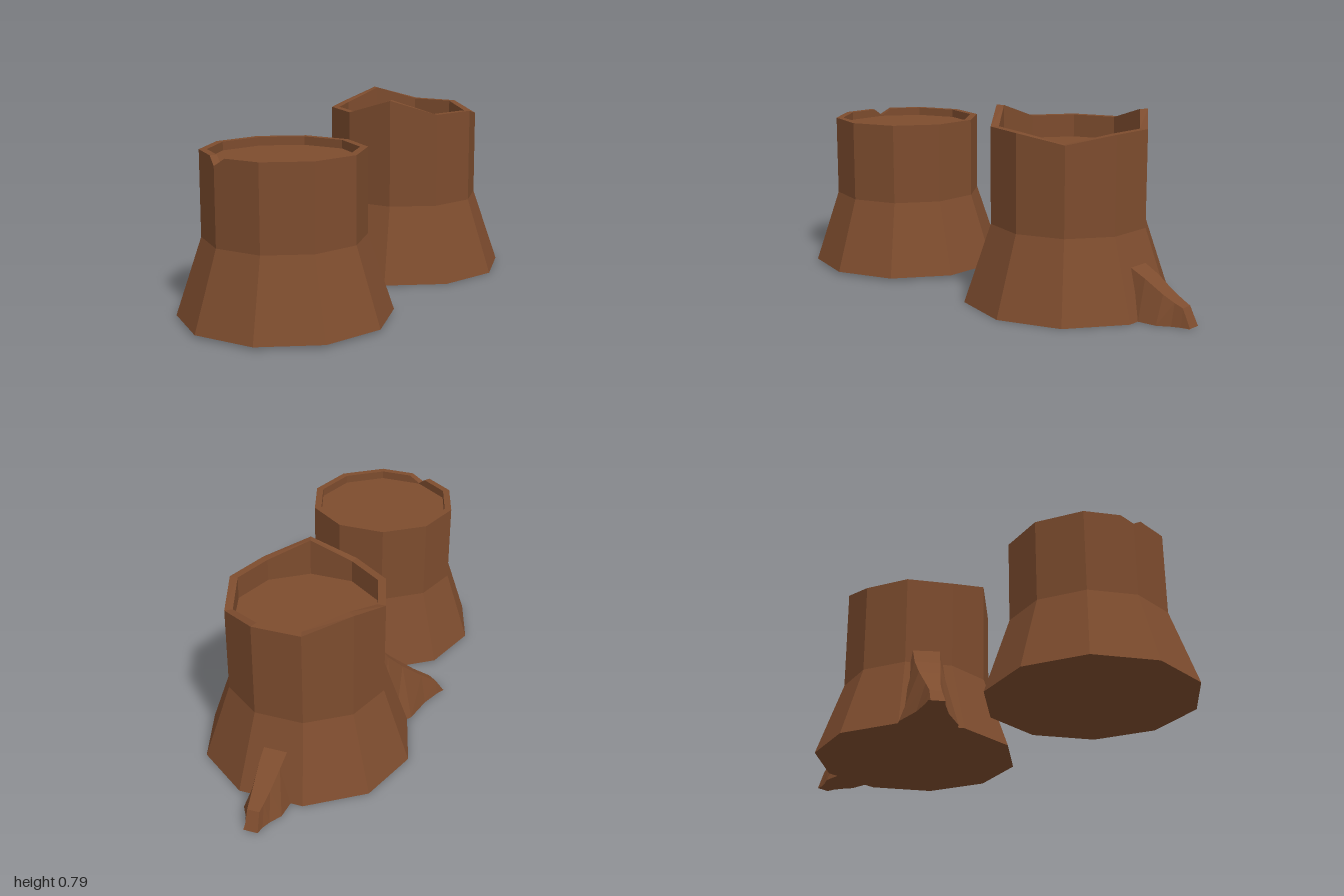
import * as THREE from 'three';

const SIDES = 10;

// Skins a list of closed rings with flat faces, skipping collapsed triangles
function loft(rings) {
  const pos = [];
  const tri = (a, b, c) => {
    const n = b.clone().sub(a).cross(c.clone().sub(a));
    if (n.length() > 1e-9) pos.push(...a.toArray(), ...b.toArray(), ...c.toArray());
  };
  for (let i = 0; i < rings.length - 1; i++) {
    const lo = rings[i], hi = rings[i + 1];
    for (let j = 0; j < lo.length; j++) {
      const k = (j + 1) % lo.length;
      tri(lo[j], hi[j], hi[k]);
      tri(lo[j], hi[k], lo[k]);
    }
  }
  const g = new THREE.BufferGeometry();
  g.setAttribute('position', new THREE.Float32BufferAttribute(pos, 3));
  g.computeVertexNormals();
  return g;
}

// Point on a ten-sided outline; t counts corners, fractions lie along an edge
function outline(t, r, y) {
  const corner = (i) => {
    const a = (i / SIDES) * Math.PI * 2;
    return new THREE.Vector3(Math.cos(a) * r, y, Math.sin(a) * r);
  };
  const i = Math.floor(t);
  return corner(i).lerp(corner(i + 1), t - i);
}

// Hollow-topped stump; rim maps a corner number to its own height
function stump({ base, top, inner, y0, bend, height, floor, rim, extra = [] }) {
  const ts = [...Array(SIDES).keys(), ...extra].sort((a, b) => a - b);
  const ring = (r, y) => ts.map((t) => outline(t, r, y));
  const rimRing = (r) => ts.map((t) => outline(t, r, rim[t] ?? height));
  return loft([
    ring(0, y0), ring(base, y0), ring(top, bend),
    rimRing(top), rimRing(inner),
    ring(inner, floor), ring(0, floor),
  ]);
}

// Root running outward; sections are [distance, foot half width, ridge half width, height]
function root(dx, dz, sections) {
  const rings = sections.map(([r, w, t, y]) =>
    [[-w, 0], [-t, y], [t, y], [w, 0]].map(([s, h]) =>
      new THREE.Vector3(dx * r + dz * s, h, dz * r - dx * s)));
  const last = rings[rings.length - 1];
  const mid = last[0].clone().add(last[3]).multiplyScalar(0.5);
  rings.push(last.map(() => mid.clone()));
  return loft(rings);
}

export function createModel() {
  const bark = new THREE.MeshStandardMaterial({ color: 0x7d4c2e });
  bark.name = 'brown wood';
  bark.flatShading = true;

  const model = new THREE.Group();
  model.name = 'treeStumps';
  const add = (parent, name, geometry) => {
    const m = new THREE.Mesh(geometry, bark);
    m.name = name;
    parent.add(m);
  };

  // Front stump with a small notch in its level rim
  const front = new THREE.Group();
  front.name = 'frontStump';
  front.position.z = 0.59;
  add(front, 'notchedTrunk', stump({
    base: 0.431, top: 0.326, inner: 0.295, y0: 0.01, bend: 0.325,
    height: 0.67, floor: 0.635, rim: { 3: 0.638 }, extra: [2.75, 3.25],
  }));

  // Back stump with a jagged rim and two roots
  const back = new THREE.Group();
  back.name = 'backStump';
  back.position.z = -0.38;
  add(back, 'jaggedTrunk', stump({
    base: 0.441, top: 0.329, inner: 0.295, y0: 0, bend: 0.325,
    height: 0.725, floor: 0.63, rim: { 2: 0.788, 6: 0.78, 9: 0.69 },
  }));
  add(back, 'backRoot', root(0, -1, [
    [0.33, 0.085, 0.05, 0.21], [0.42, 0.085, 0.045, 0.165], [0.5, 0.08, 0.036, 0.115],
    [0.55, 0.05, 0.03, 0.09], [0.585, 0.036, 0.025, 0.075], [0.62, 0.03, 0.025, 0],
  ]));
  add(back, 'frontRoot', root(-0.616, 0.788, [
    [0.29, 0.125, 0.06, 0.42], [0.36, 0.125, 0.055, 0.31], [0.445, 0.122, 0.045, 0.225],
    [0.56, 0.065, 0.03, 0.125], [0.645, 0.04, 0.025, 0.06], [0.685, 0.034, 0.025, 0],
  ]));

  model.add(front, back);
  return model;
}
